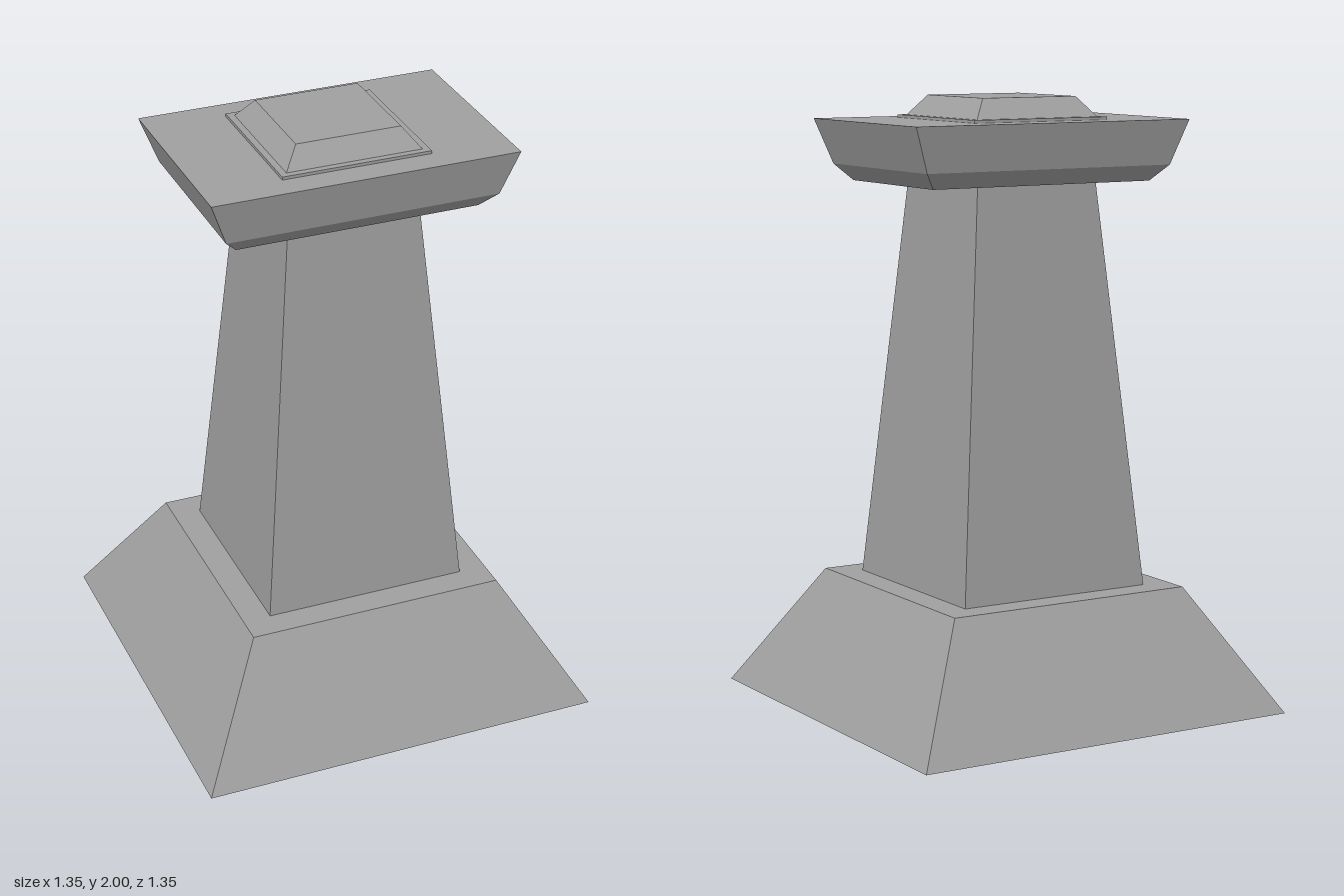
import * as THREE from 'three';

// Open rectangular shell through a list of [halfX, y, halfZ] sections, optionally capped on top
function shell(name, sections, material, capped = false) {
  const positions = [];
  const corners = ([x, y, z]) => [[-x, y, z], [x, y, z], [x, y, -z], [-x, y, -z]];
  const quad = (a, b, c, d) => positions.push(...a, ...b, ...c, ...a, ...c, ...d);
  for (let i = 0; i < sections.length - 1; i++) {
    const low = corners(sections[i]);
    const high = corners(sections[i + 1]);
    for (let k = 0; k < 4; k++) {
      const n = (k + 1) % 4;
      quad(low[k], low[n], high[n], high[k]);
    }
  }
  if (capped) quad(...corners(sections[sections.length - 1]));
  const geometry = new THREE.BufferGeometry();
  geometry.setAttribute('position', new THREE.Float32BufferAttribute(positions, 3));
  geometry.computeVertexNormals();
  const mesh = new THREE.Mesh(geometry, material);
  mesh.name = name;
  return mesh;
}

export function createModel() {
  const stone = new THREE.MeshStandardMaterial({ color: 0xa0a0a0, side: THREE.DoubleSide });
  stone.name = 'grey stone';
  const group = new THREE.Group();
  group.name = 'pedestal';

  group.add(
    // Hollow sloped foot with a flat ledge running in to the column
    shell('base', [[0.675, 0, 0.675], [0.432, 0.405, 0.432], [0.34, 0.405, 0.34]], stone),
    // Hollow tapering shaft
    shell('column', [[0.34, 0.405, 0.34], [0.222, 1.725, 0.222]], stone),
    // Wide flared slab: underside, bevel, side, upper face
    shell('capital', [
      [0.222, 1.725, 0.222], [0.405, 1.725, 0.26], [0.453, 1.778, 0.308],
      [0.508, 1.925, 0.338], [0.247, 1.925, 0.247],
    ], stone),
    // Thin square plate on the slab
    shell('topPlate', [[0.247, 1.925, 0.247], [0.247, 1.935, 0.247], [0.225, 1.935, 0.225]], stone),
    // Bevelled block closing the top
    shell('topBlock', [[0.225, 1.935, 0.225], [0.174, 2, 0.174]], stone, true),
  );
  return group;
}
